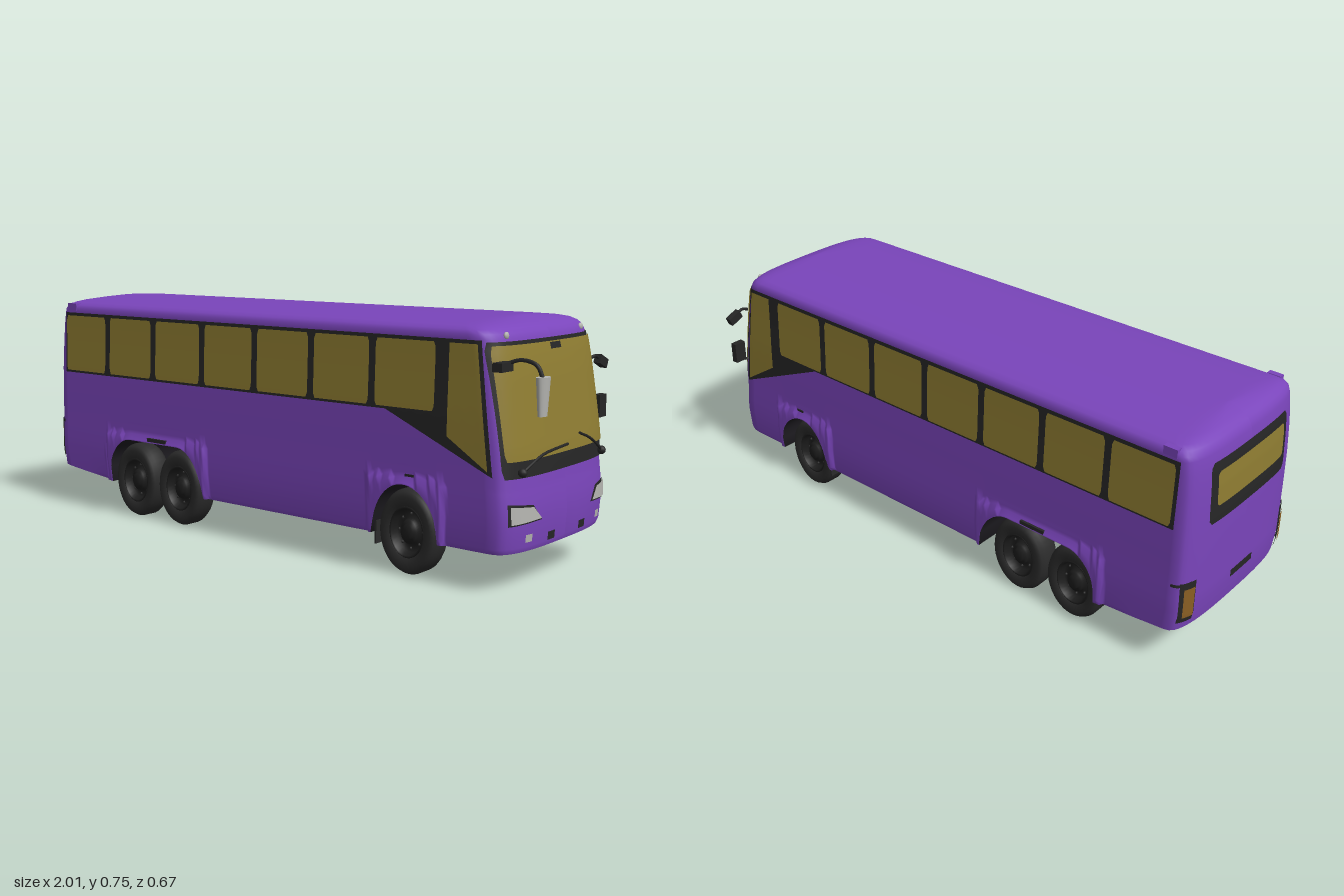
import * as THREE from 'three';

const mat = (name, color, side = THREE.DoubleSide) => {
  const m = new THREE.MeshStandardMaterial({ color, side });
  m.name = name;
  return m;
};
const paint = mat('purple paint', 0x7a45bb), glass = mat('amber glass', 0x8f7d32), black = mat('black trim', 0x262626);
const rubber = mat('tyre rubber', 0x2b2b2b), hubMat = mat('dark wheel metal', 0x1d1d1d);
const lamp = mat('pale grey', 0xb4b4b0), amber = mat('tail lamp', 0x8a5f24), under = mat('underbody', 0x1f1d22);

// Body profile by height: y, half width, front x, rear x
const PROFILE = [
  [0.115, 0.287, 0.925, -0.985], [0.13, 0.292, 0.93, -0.988], [0.2, 0.295, 0.935, -1],
  [0.25, 0.295, 0.932, -1], [0.285, 0.294, 0.928, -1], [0.30, 0.294, 0.926, -1], [0.33, 0.293, 0.924, -1],
  [0.40, 0.292, 0.917, -1], [0.50, 0.290, 0.902, -0.999], [0.60, 0.286, 0.887, -0.995],
  [0.66, 0.284, 0.876, -0.99], [0.70, 0.283, 0.866, -0.984], [0.715, 0.284, 0.858, -0.978],
  [0.727, 0.275, 0.846, -0.97], [0.736, 0.258, 0.83, -0.958], [0.743, 0.22, 0.81, -0.945],
  [0.75, 0.14, 0.79, -0.925], [0.754, 0.06, 0.775, -0.91], [0.755, 0, 0.77, -0.9],
];
const FRONT = 0.08, REAR = 0.06, CENTRE_Z = 0.028;

function prof(y) {
  let i = 1;
  while (i < PROFILE.length - 1 && PROFILE[i][0] < y) i++;
  const a = PROFILE[i - 1], b = PROFILE[i];
  const t = THREE.MathUtils.clamp((y - a[0]) / (b[0] - a[0]), 0, 1);
  return [1, 2, 3].map(k => a[k] + (b[k] - a[k]) * t);
}

// Plan outline has rounded ends
const dip = q => 1 - Math.cbrt(1 - Math.min(1, Math.abs(q)) ** 3);
const reach = d => d >= 1 ? 1 : Math.cbrt(1 - (1 - Math.max(0, d)) ** 3);
const frontX = (z, y) => { const [w, f] = prof(y); return f - FRONT * dip(z / w); };
const rearX = (z, y) => { const [w, , r] = prof(y); return r + REAR * dip(z / w); };
const sideZ = (x, y) => {
  const [w, f, r] = prof(y);
  return w * Math.min(reach((f - x) / FRONT), reach((x - r) / REAR));
};

// Lower edge with wheel arches
const ARCHES = [[-0.583, -0.357, 0.112], [0.575, 0.575, 0.114]];
const archGap = (x, [a, b]) => Math.max(a - x, x - b, 0);
function lowerEdge(x) {
  let y = x < -0.69 ? 0.115 + (-0.69 - x) * 0.11 : 0.115;
  for (const arch of ARCHES) {
    const q = archGap(x, arch) / arch[2];
    if (q < 1) y = Math.max(y, 0.125 + 0.15 * Math.sqrt(1 - q * q));
  }
  return y;
}
const flare = (x, y) => y < 0.29 && ARCHES.some(a => archGap(x, a) < a[2] + 0.02) ? 0.011 : 0;

function mesh(name, geo, material, x = 0, y = 0, z = 0) {
  const m = new THREE.Mesh(geo, material);
  m.name = name;
  m.position.set(x, y, z);
  return m;
}

// Surface from a rule over a grid
function grid(name, material, nu, nv, rule) {
  const pos = [], idx = [];
  for (let j = 0; j <= nv; j++) for (let i = 0; i <= nu; i++) {
    pos.push(...rule(i, j));
    if (i < nu && j < nv) {
      const a = j * (nu + 1) + i, b = a + nu + 1;
      idx.push(a, a + 1, b, a + 1, b + 1, b);
    }
  }
  const g = new THREE.BufferGeometry();
  g.setAttribute('position', new THREE.Float32BufferAttribute(pos, 3));
  g.setIndex(idx);
  g.computeVertexNormals();
  return mesh(name, g, material);
}

// Four-cornered panel laid on the body; round pulls in its corners
function panel(name, material, [a, b, c, d], place, round = 0, nu = 14, nv = 14) {
  const mix = (p, q, t) => p + (q - p) * t;
  return grid(name, material, nu, nv, (i, j) => {
    const v = j / nv, u = 0.5 + (i / nu - 0.5) * (1 - round * Math.abs(2 * v - 1) ** 16);
    return place(mix(mix(a[0], b[0], u), mix(d[0], c[0], u), v), mix(mix(a[1], b[1], u), mix(d[1], c[1], u), v));
  });
}
const onSide = (s, off) => (x, y) => [x, y, s * (sideZ(x, y) + off)];
const onFront = off => (z, y) => [frontX(z, y) + off, y, z];
const onRear = off => (z, y) => [rearX(z, y) - off, y, z];
const rect = (x0, x1, y0, y1) => [[x0, y0], [x1, y0], [x1, y1], [x0, y1]];
const tube = (name, pts, r, material = black) =>
  mesh(name, new THREE.TubeGeometry(new THREE.CatmullRomCurve3(pts.map(p => new THREE.Vector3(...p))), 16, r, 6), material);
const box = (name, material, sx, sy, sz, x, y, z) => mesh(name, new THREE.BoxGeometry(sx, sy, sz), material, x, y, z);

function shell(bus) {
  const ends = [0, 0.2, 0.4, 0.55, 0.68, 0.78, 0.86, 0.92, 0.96, 0.99];
  const half = ends.map(z => ({ z, x: (f, r) => r + REAR * dip(z) }));
  for (let i = 0; i <= 240; i++) half.push({ z: 1, x: (f, r) => r + REAR + (f - FRONT - r - REAR) * i / 240 });
  half.push(...[...ends].reverse().map(z => ({ z, x: f => f - FRONT * dip(z) })));
  const cols = half.concat([...half].reverse().map(c => ({ ...c, z: -c.z })));
  const point = (c, j) => {
    let y = PROFILE[j][0];
    const low = lowerEdge(c.x(0.93, -0.995));
    if (y < 0.33) y = low + (y - 0.115) / 0.215 * (0.33 - low);
    const [w, f, r] = prof(y), x = c.x(f, r);
    return [x, y, c.z * (w + flare(x, y))];
  };
  bus.add(grid('bodyShell', paint, cols.length - 1, PROFILE.length - 1, (i, j) => point(cols[i], j)));
  bus.add(grid('underbody', under, half.length - 1, 1, (i, j) => point(cols[j ? cols.length - 1 - i : i], 0)));
}

function wheel(x, s) {
  const g = new THREE.Group();
  g.name = 'wheel';
  const V = (r, h) => new THREE.Vector2(r, h);
  const tyre = new THREE.LatheGeometry([V(0.07, -0.036), V(0.105, -0.043), V(0.12, -0.036), V(0.128, -0.022),
    V(0.128, 0.022), V(0.12, 0.036), V(0.105, 0.043), V(0.078, 0.038), V(0.074, 0.03)], 40);
  const rim = new THREE.LatheGeometry([V(0, -0.03), V(0.072, -0.03), V(0.078, 0.036), V(0.07, 0.036), V(0.064, 0.012),
    V(0.04, 0.012), V(0.036, 0.026), V(0.026, 0.026), V(0.022, 0.036), V(0, 0.036)], 32);
  for (const [n, geo, m] of [['tyre', tyre, rubber], ['rim', rim, hubMat]]) g.add(mesh(n, geo.rotateX(Math.PI / 2), m));
  for (let k = 0; k < 8; k++) {
    const a = k * Math.PI / 4;
    g.add(mesh('wheelNut', new THREE.SphereGeometry(0.005, 6, 4), rubber, 0.052 * Math.cos(a), 0.052 * Math.sin(a), 0.013));
  }
  g.scale.set(0.8, 1, s);
  g.position.set(x, 0.128, s * 0.237);
  return g;
}

export function createModel() {
  const bus = new THREE.Group();
  bus.name = 'coach';
  shell(bus);

  // Windscreen, inner mirror and wipers
  bus.add(panel('windscreenFrame', black, rect(-0.281, 0.281, 0.325, 0.695), onFront(0.004), 0.02, 40, 16));
  bus.add(panel('windscreen', glass, rect(-0.275, 0.275, 0.372, 0.685), onFront(0.008), 0.02, 40, 16));
  bus.add(panel('insideMirror', black, rect(-0.028, 0.03, 0.664, 0.682), onFront(0.011)));
  const onGlass = ([z, y]) => onFront(0.014)(z, y);
  for (const pts of [[[0.23, 0.342], [0.2, 0.357], [0.14, 0.38], [0.0, 0.393]], [[-0.228, 0.342], [-0.18, 0.37], [-0.13, 0.395], [-0.073, 0.415]]]) {
    bus.add(tube('wiper', pts.map(onGlass), 0.004));
    bus.add(mesh('wiperPivot', new THREE.SphereGeometry(0.013, 12, 8), black, ...onGlass(pts[0])));
  }

  for (const s of [1, -1]) {
    // Side glazing
    const band = [rect(-0.935, 0.5, 0.487, 0.7), [[0.5, 0.487], [0.865, 0.33], [0.815, 0.7], [0.5, 0.7]]];
    for (const q of band) bus.add(panel('windowBand', black, q, onSide(s, 0.003), 0, 30));
    for (let i = 0; i < 7; i++) {
      const x = -0.925 + i * 0.2315;
      bus.add(panel('sideWindow', glass, rect(x, x + 0.208, 0.495, 0.69), onSide(s, 0.007), 0.06));
    }
    bus.add(panel('quarterWindow', glass, [[0.717, 0.43], [0.852, 0.345], [0.807, 0.69], [0.717, 0.69]], onSide(s, 0.007)));
    // Front lamps and grilles
    const m = q => q.map(([z, y]) => [s * z, y]);
    bus.add(panel('headlightSurround', black, m([[0.142, 0.2], [0.273, 0.195], [0.273, 0.257], [0.18, 0.246]]), onFront(0.003)));
    bus.add(panel('headlight', lamp, m([[0.148, 0.205], [0.268, 0.2], [0.268, 0.25], [0.183, 0.241]]), onFront(0.007)));
    bus.add(panel('fogLamp', lamp, m(rect(0.184, 0.212, 0.144, 0.166)), onFront(0.005)));
    bus.add(panel('bumperVent', black, m(rect(0.07, 0.107, 0.133, 0.157)), onFront(0.005)));
    const marker = mesh('markerLamp', new THREE.SphereGeometry(0.011, 12, 8), lamp, frontX(0.21, 0.71), 0.71, s * 0.21);
    marker.scale.x = 0.6;
    bus.add(marker);
    // Rear lamps, roof corner lamps and arch trims
    bus.add(panel('tailLampFrame', black, m(rect(0.235, 0.286, 0.175, 0.315)), onRear(0.004)));
    bus.add(panel('tailLamp', amber, m(rect(0.242, 0.278, 0.195, 0.295)), onRear(0.008)));
    bus.add(panel('sideMarker', black, rect(-0.985, -0.945, 0.303, 0.313), onSide(s, 0.004)));
    bus.add(box('roofCornerLamp', paint, 0.045, 0.026, 0.02, -0.9, 0.72, s * 0.276));
    bus.add(box('archTrim', black, 0.09, 0.012, 0.012, -0.455, 0.285, s * 0.3));
    bus.add(box('archTrim', black, 0.03, 0.007, 0.008, 0.59, 0.302, s * 0.293));
    // Running gear
    for (const x of [-0.595, -0.38, 0.567]) bus.add(wheel(x, s));
    bus.add(box('suspensionArm', under, 0.1, 0.06, 0.1, 0.567, 0.107, s * 0.143));
    bus.add(box('mudFlap', rubber, 0.006, 0.07, 0.08, 0.463, 0.115, s * 0.245));
  }
  for (const x of [-0.595, -0.38, 0.567])
    bus.add(mesh('axle', new THREE.CylinderGeometry(0.014, 0.014, 0.42, 12).rotateX(Math.PI / 2), under, x, 0.128, 0));

  // Rear window and number plate recess
  bus.add(panel('rearWindowFrame', black, rect(-0.205, 0.205, 0.48, 0.675), onRear(0.004), 0.06));
  bus.add(panel('rearWindow', glass, rect(-0.18, 0.18, 0.535, 0.645), onRear(0.008), 0.06));
  bus.add(panel('plateRecess', black, rect(-0.06, 0.06, 0.23, 0.255), onRear(0.004)));

  // Hanging mirror on the left
  bus.add(box('mirrorBracket', black, 0.03, 0.025, 0.06, 0.88, 0.633, 0.277));
  bus.add(tube('mirrorArm', [[0.88, 0.64, 0.26], [0.92, 0.652, 0.25], [0.965, 0.64, 0.245], [0.985, 0.6, 0.243]], 0.006));
  const hanging = new THREE.CylinderGeometry(0.029, 0.019, 0.105, 20);
  hanging.scale(0.55, 1, 1);
  bus.add(mesh('hangingMirror', hanging, lamp, 0.984, 0.558, 0.243));

  // Pair of mirrors on the right
  bus.add(tube('upperMirrorArm', [[0.85, 0.61, -0.28], [0.855, 0.615, -0.3], [0.855, 0.603, -0.325]], 0.005));
  const upper = box('upperMirror', black, 0.022, 0.028, 0.05, 0.855, 0.596, -0.337);
  upper.rotation.x = -0.4;
  bus.add(upper);
  bus.add(tube('lowerMirrorArm', [[0.855, 0.42, -0.285], [0.86, 0.422, -0.305], [0.86, 0.45, -0.325]], 0.005));
  bus.add(box('lowerMirror', black, 0.022, 0.07, 0.042, 0.86, 0.46, -0.329));

  bus.position.z = CENTRE_Z;
  const model = new THREE.Group();
  model.add(bus);
  return model;
}
